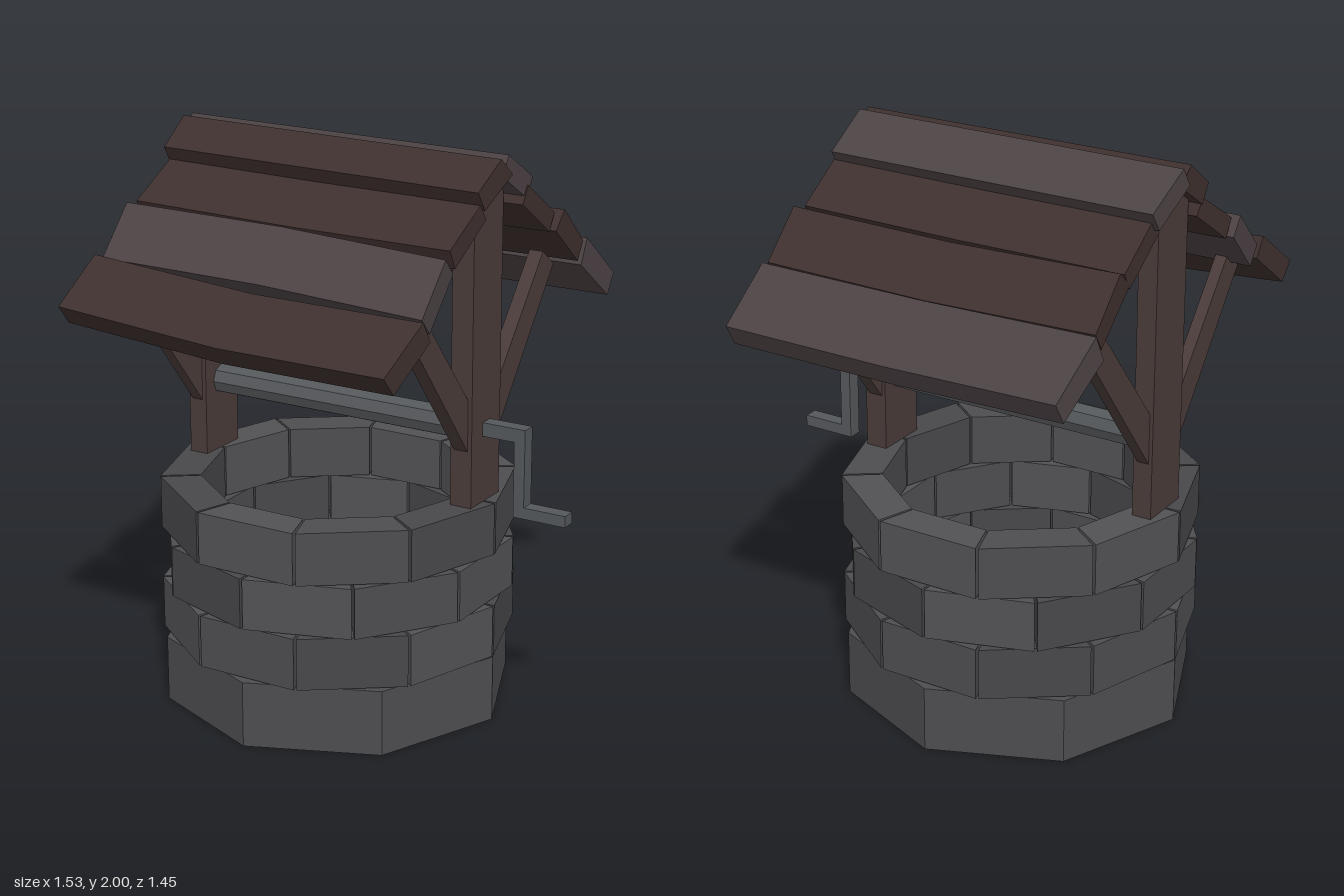
import * as THREE from 'three';

const mat = (color) => new THREE.MeshStandardMaterial({ color, flatShading: true, side: THREE.DoubleSide });
const stones = [0x4d4d50, 0x48484b, 0x525255].map(mat);
const wood = mat(0x4a3c3a), darkWood = mat(0x3e302e), paleWood = mat(0x4c4244), metal = mat(0x55585b);
const CX = -0.125, CZ = 0.015, R = 0.62;

export function createModel() {
  const model = new THREE.Group();

  const add = (name, geometry, material, parent = model) => {
    const mesh = new THREE.Mesh(geometry, material);
    mesh.name = name;
    parent.add(mesh);
    return mesh;
  };

  // Box given by its limits
  const box = (name, material, x0, x1, y0, y1, z0, z1, parent) =>
    add(name, new THREE.BoxGeometry(x1 - x0, y1 - y0, z1 - z0), material, parent)
      .position.set((x0 + x1) / 2, (y0 + y1) / 2, (z0 + z1) / 2);

  // Prism along x with a cross-section of [z, y] points
  const prism = (section, x0, x1, steps = 1) => {
    const shape = new THREE.Shape(section.map(([z, y]) => new THREE.Vector2(-z, y)));
    return new THREE.ExtrudeGeometry(shape, { depth: x1 - x0, steps, bevelEnabled: false })
      .rotateY(Math.PI / 2).translate(x0, 0, 0);
  };

  // Base: octagonal skirt, open below, closed by a floor on top
  const base = new THREE.Group();
  base.name = 'base';
  base.position.set(CX, 0, CZ);
  model.add(base);
  add('baseWall', new THREE.CylinderGeometry(R, R, 0.235, 8, 1, true), stones[0], base).position.y = 0.1175;
  add('wellFloor', new THREE.CircleGeometry(R, 8).rotateX(-Math.PI / 2), stones[0], base).position.y = 0.235;

  // Three courses of ten stone blocks, with staggered joints
  const rInner = 0.48, gap = 0.008;
  [[0.24, 0.425, 0.5], [0.43, 0.61, 0], [0.615, 0.8, 0.5]].forEach(([y0, y1, offset], row) => {
    const course = new THREE.Group();
    course.name = 'stoneCourse';
    course.position.set(CX, y0, CZ);
    model.add(course);
    for (let i = 0; i < 10; i++) {
      const a0 = (i + offset) * Math.PI / 5 + gap, a1 = (i + 1 + offset) * Math.PI / 5 - gap;
      const at = (r, a) => new THREE.Vector2(r * Math.sin(a), -r * Math.cos(a));
      const shape = new THREE.Shape([at(R, a0), at(R, a1), at(rInner, a1), at(rInner, a0)]);
      const block = new THREE.ExtrudeGeometry(shape, { depth: y1 - y0, bevelEnabled: false }).rotateX(-Math.PI / 2);
      add('stoneBlock', block, stones[(i * 2 + row + (i % 4 === 0 ? 1 : 0)) % 3], course);
    }
  });

  // Posts, each with a brace to the front and to the back
  for (const [x0, x1] of [[-0.69, -0.62], [0.37, 0.45]]) {
    box('post', wood, x0, x1, 0, 1.89, -0.09, 0.105);
    for (const s of [1, -1]) {
      const section = [[0.09, 0.99], [0.5, 1.51], [0.42, 1.57], [0.09, 1.17]];
      add('brace', prism(section.map(([z, y]) => [s * z + 0.0075, y]), x0 + 0.013, x1 - 0.015), wood);
    }
  }

  // Winch beam and crank
  const beam = new THREE.CylinderGeometry(0.053, 0.053, 1, 8).rotateZ(Math.PI / 2);
  add('winchBeam', beam, metal).position.set(CX, 1.057, 0.005);
  const crank = new THREE.Group();
  crank.name = 'crank';
  model.add(crank);
  box('crankAxle', metal, 0.37, 0.61, 1.035, 1.083, -0.022, 0.03, crank);
  box('crankArm', metal, 0.57, 0.61, 0.77, 1.035, -0.022, 0.03, crank);
  box('crankHandle', metal, 0.61, 0.765, 0.77, 0.81, -0.022, 0.03, crank);

  // Roof planks: section (upper top, lower top, lower bottom, upper bottom),
  // end positions [left, right] at the upper and lower edge, rise of the -x end, middle sag
  const planks = [
    [[[0.05, 1.99], [0.165, 1.9], [0.13, 1.835], [-0.01, 1.93]], [-0.725, 0.515, -0.73, 0.495], 0.01, 0, darkWood],
    [[[0.138, 1.855], [0.31, 1.74], [0.28, 1.675], [0.106, 1.8]], [-0.725, 0.49, -0.745, 0.475], 0.01, 0.005, darkWood],
    [[[0.345, 1.72], [0.51, 1.565], [0.455, 1.505], [0.29, 1.66]], [-0.76, 0.48, -0.745, 0.49], 0.03, -0.012, paleWood],
    [[[0.545, 1.57], [0.725, 1.43], [0.68, 1.365], [0.51, 1.5]], [-0.75, 0.515, -0.77, 0.48], 0.045, 0.022, darkWood],
    [[[0, 1.995], [-0.17, 1.89], [-0.13, 1.825], [0.04, 1.93]], [-0.725, 0.515, -0.71, 0.515], 0.005, 0, paleWood],
    [[[-0.13, 1.87], [-0.315, 1.74], [-0.28, 1.68], [-0.095, 1.81]], [-0.695, 0.52, -0.695, 0.525], 0, 0.005, darkWood],
    [[[-0.35, 1.745], [-0.515, 1.6], [-0.473, 1.537], [-0.28, 1.685]], [-0.7, 0.545, -0.71, 0.535], 0.01, 0.012, darkWood],
    [[[-0.537, 1.605], [-0.725, 1.44], [-0.686, 1.367], [-0.5, 1.516]], [-0.725, 0.54, -0.695, 0.555], 0.01, 0.008, paleWood],
  ];
  const roof = new THREE.Group();
  roof.name = 'roof';
  model.add(roof);
  for (const [section, [l0, r0, l1, r1], rise, sag, material] of planks) {
    const geometry = prism(section, 0, 1, 2), p = geometry.attributes.position;
    const zUp = section[0][0], zLow = section[1][0];
    for (let i = 0; i < p.count; i++) {
      const t = p.getX(i);
      const s = (p.getZ(i) - zUp) / (zLow - zUp);
      const left = THREE.MathUtils.lerp(l0, l1, s), right = THREE.MathUtils.lerp(r0, r1, s);
      p.setX(i, THREE.MathUtils.lerp(left, right, t));
      p.setY(i, p.getY(i) + rise * (1 - t) - sag * Math.sin(Math.PI * t));
    }
    geometry.computeVertexNormals();
    add('roofPlank', geometry, material, roof);
  }

  return model;
}
